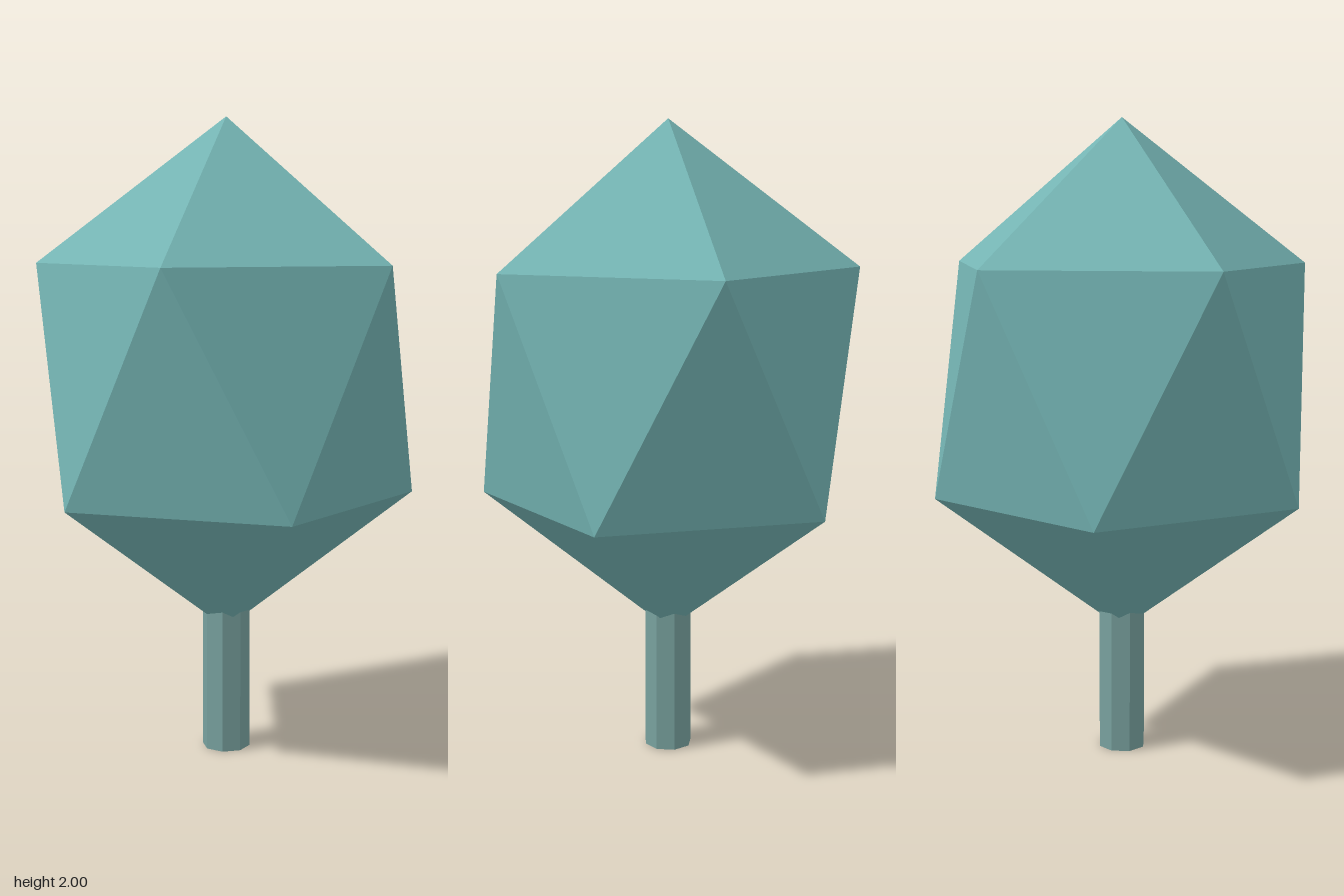
import * as THREE from 'three';

const CENTRE_Y = 1.194, HALF_HEIGHT = 0.806, RING_RADIUS = 0.59;
const RING_Y = HALF_HEIGHT / Math.sqrt(5);

// Stretched twenty-sided crown: two poles and two staggered five-point rings
function crownGeometry() {
  const points = [0, HALF_HEIGHT, 0, 0, -HALF_HEIGHT, 0];
  for (let i = 0; i < 5; i++) {
    for (const [y, turn] of [[RING_Y, 0], [-RING_Y, 0.5]]) {
      const a = (i + turn) * Math.PI * 2 / 5;
      points.push(RING_RADIUS * Math.cos(a), y, RING_RADIUS * Math.sin(a));
    }
  }
  const faces = [];
  for (let i = 0; i < 5; i++) {
    const up = 2 + 2 * i, low = up + 1;
    const nextUp = 2 + 2 * ((i + 1) % 5), nextLow = nextUp + 1;
    faces.push(0, nextUp, up, up, nextUp, low, low, nextUp, nextLow, 1, low, nextLow);
  }
  const indexed = new THREE.BufferGeometry();
  indexed.setAttribute('position', new THREE.Float32BufferAttribute(points, 3));
  indexed.setIndex(faces);
  const geometry = indexed.toNonIndexed();
  geometry.computeVertexNormals();
  return geometry;
}

export function createModel() {
  const foliage = new THREE.MeshStandardMaterial({ color: 0x74b4b3, flatShading: true });
  foliage.name = 'teal foliage';
  const bark = new THREE.MeshStandardMaterial({ color: 0x78a19e, flatShading: true });
  bark.name = 'grey teal bark';

  const tree = new THREE.Group();
  tree.name = 'tree';

  // Faceted crown
  const crown = new THREE.Mesh(crownGeometry(), foliage);
  crown.name = 'crown';
  crown.position.y = CENTRE_Y;
  tree.add(crown);

  // Eight-sided trunk, its top hidden inside the crown
  const trunk = new THREE.Mesh(new THREE.CylinderGeometry(0.076, 0.076, 0.5, 8), bark);
  trunk.name = 'trunk';
  trunk.position.y = 0.25;
  tree.add(trunk);

  return tree;
}
